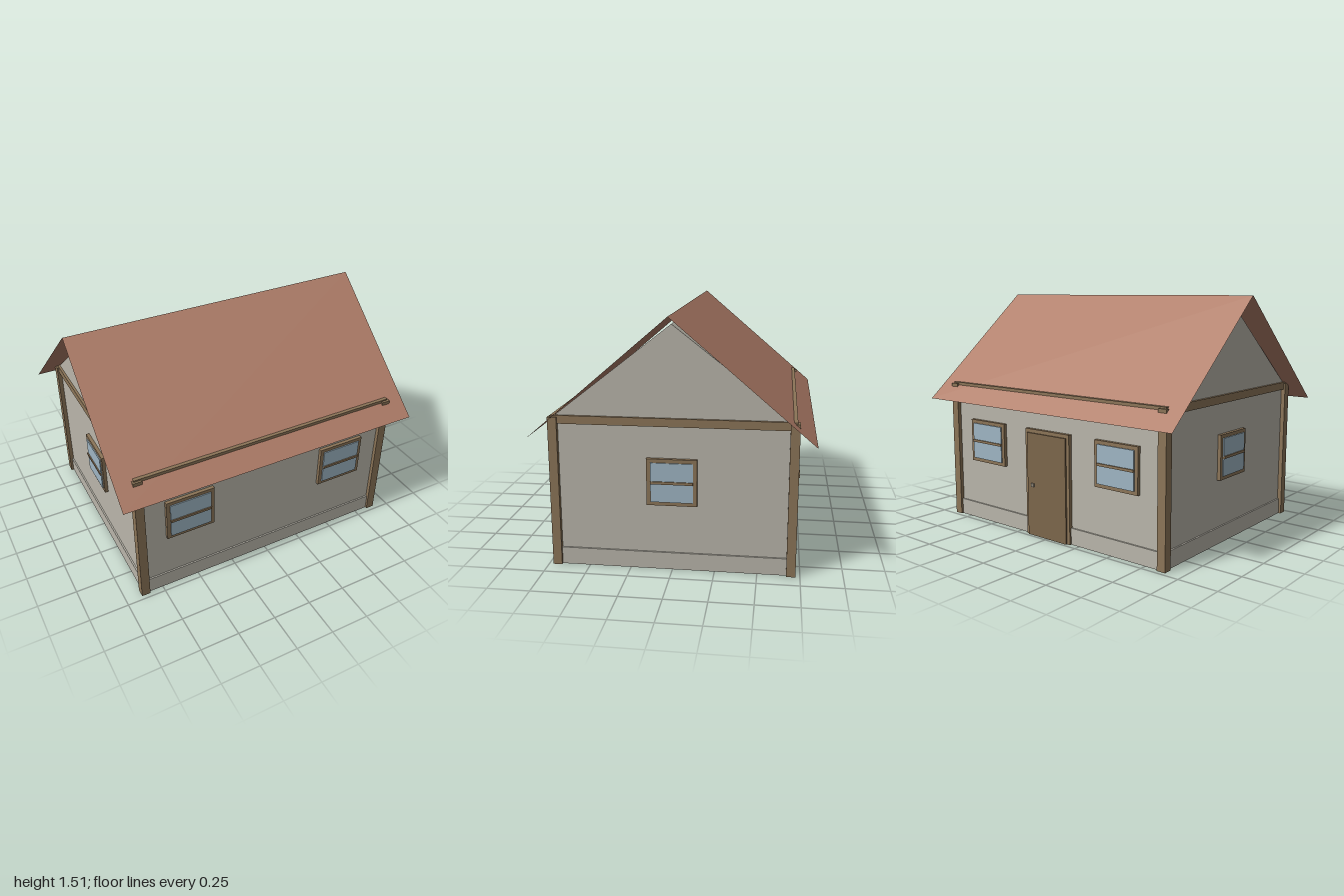
import * as THREE from 'three';

const flat = (name, color, side = THREE.FrontSide) => {
  const m = new THREE.MeshStandardMaterial({ color, side });
  m.name = name;
  return m;
};

export function createModel() {
  const house = new THREE.Group();
  house.name = 'house';
  const plaster = flat('plaster', 0xbab6ab);
  const wood = flat('wood', 0x8c7558);
  const doorWood = flat('doorWood', 0x7d674c);
  const glass = flat('glass', 0x9fb6c4);
  const metal = flat('metal', 0xa39a8a);
  const tile = flat('roofTile', 0xb07e69, THREE.DoubleSide);

  const box = (parent, name, mat, w, h, d, x, y, z) => {
    const mesh = new THREE.Mesh(new THREE.BoxGeometry(w, h, d), mat);
    mesh.position.set(x, y, z);
    mesh.name = name;
    parent.add(mesh);
    return mesh;
  };

  // Half sizes of the walls
  const WX = 0.87, WZ = 0.70, EAVE = 0.911;

  // Walls with both gables, one pentagon run along x
  const profile = new THREE.Shape();
  profile.moveTo(-WZ, 0);
  profile.lineTo(WZ, 0);
  profile.lineTo(WZ, EAVE);
  profile.lineTo(0, 1.457);
  profile.lineTo(-WZ, EAVE);
  profile.closePath();
  const wallGeo = new THREE.ExtrudeGeometry(profile, { depth: 2 * WX, bevelEnabled: false });
  wallGeo.translate(0, 0, -WX);
  wallGeo.rotateY(Math.PI / 2);
  const walls = new THREE.Mesh(wallGeo, plaster);
  walls.name = 'walls';
  house.add(walls);

  // Skirting that stands a little proud of the walls
  box(house, 'skirting', plaster, 2 * WX + 0.02, 0.105, 2 * WZ + 0.02, 0, 0.0525, 0);

  // Corner posts and the beams under the eaves
  for (const sx of [-1, 1]) {
    for (const sz of [-1, 1]) {
      box(house, 'cornerPost', wood, 0.056, 0.914, 0.054, sx * 0.869, 0.457, sz * 0.697);
    }
    box(house, 'sideBeam', wood, 0.04, 0.049, 1.42, sx * 0.866, 0.8985, 0);
  }
  for (const sz of [-1, 1]) {
    box(house, 'eaveBeam', wood, 1.772, 0.049, 0.04, 0, 0.8985, sz * 0.69);
  }

  // Thin roof slopes
  const RIDGE = 1.51, EDGE = 0.81, REACH = 0.82;
  const length = Math.hypot(RIDGE - EDGE, REACH);
  const pitch = Math.atan2(REACH, RIDGE - EDGE);
  for (const s of [-1, 1]) {
    const geo = new THREE.PlaneGeometry(2, length);
    geo.translate(0, -length / 2, 0);
    geo.rotateX(-pitch);
    if (s < 0) geo.rotateY(Math.PI);
    const slope = new THREE.Mesh(geo, tile);
    slope.name = 'roofSlope';
    slope.position.y = RIDGE;
    house.add(slope);
  }

  // A window facing +z, with its origin on the wall surface
  const addWindow = (name, w, x, z, turn) => {
    const g = new THREE.Group();
    g.name = name;
    box(g, 'windowFrame', wood, w, 0.281, 0.03, 0, 0, 0.007);
    box(g, 'windowPane', glass, w - 0.048, 0.236, 0.008, 0, 0, 0.025);
    box(g, 'glazingBar', wood, w - 0.048, 0.016, 0.02, 0, 0, 0.026);
    g.position.set(x, 0.544, z);
    g.rotation.y = turn;
    house.add(g);
  };
  for (const s of [-1, 1]) {
    addWindow('frontWindow', 0.319, s * 0.545, WZ, 0);
    addWindow('backWindow', 0.319, s * 0.545, -WZ, Math.PI);
    addWindow('sideWindow', 0.296, s * WX, 0, s * Math.PI / 2);
  }

  // Back door with frame and knob
  const door = new THREE.Group();
  door.name = 'backDoor';
  box(door, 'doorFrame', wood, 0.37, 0.685, 0.03, 0, 0.3425, 0.008);
  box(door, 'doorPanel', doorWood, 0.325, 0.662, 0.02, 0, 0.331, 0.023);
  box(door, 'doorKnob', metal, 0.022, 0.022, 0.012, -0.115, 0.33, 0.037);
  door.position.z = -WZ;
  door.rotation.y = Math.PI;
  house.add(door);

  return house;
}
